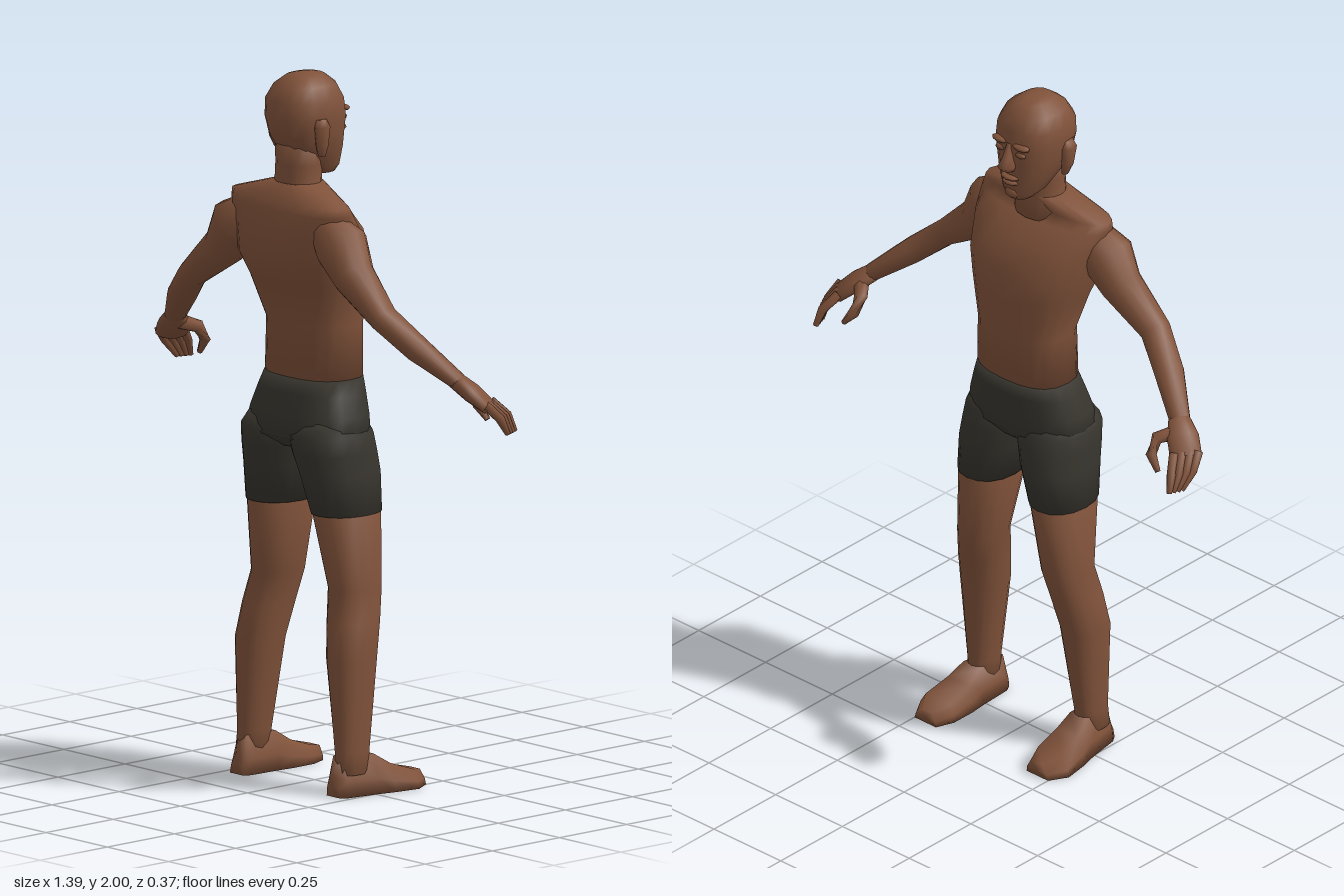
import * as THREE from 'three';

const skin = new THREE.MeshStandardMaterial({ color: 0x80523a });
skin.name = 'skin';
const cloth = new THREE.MeshStandardMaterial({ color: 0x38352e });
cloth.name = 'dark cloth';

// Joins rings of points into a closed, smooth skin.
function loft(rings) {
  const n = rings[0].length, last = rings.length - 1;
  const pos = rings.flat(2), index = [];
  for (let i = 0; i < last; i++) {
    for (let j = 0; j < n; j++) {
      const a = i * n + j, b = i * n + (j + 1) % n;
      index.push(a, a + n, b, b, a + n, b + n);
    }
  }
  [0, last].forEach((r, end) => {
    const centre = pos.length / 3;
    for (let k = 0; k < 3; k++) pos.push(rings[r].reduce((s, p) => s + p[k], 0) / n);
    for (let j = 0; j < n; j++) {
      const a = r * n + j, b = r * n + (j + 1) % n;
      index.push(centre, ...(end ? [b, a] : [a, b]));
    }
  });
  const geo = new THREE.BufferGeometry();
  geo.setAttribute('position', new THREE.Float32BufferAttribute(pos, 3));
  geo.setIndex(index);
  geo.computeVertexNormals();
  return geo;
}

// Level rings, bottom to top: [y, xMin, xMax, zFront, zBack]; e < 1 is boxier.
function stack(rows, e = 1, n = 16) {
  const pw = v => Math.sign(v) * Math.abs(v) ** e;
  return loft(rows.map(([y, x0, x1, z0, z1]) => Array.from({ length: n }, (_, j) => {
    const a = j / n * Math.PI * 2;
    return [(x0 + x1) / 2 + (x1 - x0) / 2 * pw(Math.cos(a)), y,
      (z0 + z1) / 2 + (z1 - z0) / 2 * pw(Math.sin(a))];
  })));
}
const centred = (rows, e, n) => stack(rows.map(([y, w, f, b]) => [y, -w, w, f, b]), e, n);

// Rings square to a path: [x, y, z, sideways radius, other radius].
function limb(path, n = 10) {
  const pts = path.map(p => new THREE.Vector3(p[0], p[1], p[2]));
  return loft(path.map((p, i) => {
    const t = pts[Math.min(i + 1, pts.length - 1)].clone().sub(pts[Math.max(i - 1, 0)]).normalize();
    const u = new THREE.Vector3(0, 1, 0).cross(t).normalize();
    const v = u.clone().cross(t);
    return Array.from({ length: n }, (_, j) => {
      const a = j / n * Math.PI * 2;
      return pts[i].clone().addScaledVector(u, p[3] * Math.cos(a))
        .addScaledVector(v, (p[4] ?? p[3]) * Math.sin(a)).toArray();
    });
  }));
}

function mirrored(geo) {
  const g = geo.clone().scale(-1, 1, 1), idx = g.index.array;
  for (let i = 0; i < idx.length; i += 3) [idx[i], idx[i + 1]] = [idx[i + 1], idx[i]];
  g.computeVertexNormals();
  return g;
}

export function createModel() {
  const model = new THREE.Group();
  model.name = 'figure';
  const add = (name, geo, mat = skin) => {
    const m = new THREE.Mesh(geo, mat);
    m.name = name;
    model.add(m);
  };
  const pair = (name, geo, mat) => {
    add(name + 'A', geo, mat);
    add(name + 'B', mirrored(geo), mat);
  };
  const blob = (w, h, d, x, y, z) =>
    new THREE.SphereGeometry(1, 8, 6).scale(w, h, d).translate(x, y, z);

  // Torso and neck
  add('torso', centred([
    [1.15, 0.15, -0.1, 0.105], [1.3, 0.145, -0.105, 0.105], [1.42, 0.175, -0.107, 0.15],
    [1.49, 0.198, -0.1, 0.182], [1.58, 0.212, -0.06, 0.178], [1.63, 0.223, 0, 0.165],
    [1.655, 0.222, 0.025, 0.15], [1.7, 0.072, 0.0, 0.125]], 0.8, 20));
  add('neck', centred([
    [1.63, 0.085, -0.01, 0.13], [1.7, 0.07, 0, 0.122], [1.75, 0.068, 0, 0.12],
    [1.82, 0.07, 0, 0.12]]));

  // Head
  add('head', centred([
    [1.714, 0.035, -0.06, 0.015], [1.735, 0.055, -0.07, 0.05], [1.79, 0.08, -0.074, 0.11],
    [1.83, 0.092, -0.074, 0.135], [1.88, 0.1, -0.077, 0.147], [1.93, 0.098, -0.07, 0.145],
    [1.97, 0.078, -0.05, 0.122], [1.995, 0.045, -0.02, 0.09], [2, 0.02, 0.01, 0.06]], 0.85));
  add('nose', centred([
    [1.812, 0.018, -0.095, -0.05], [1.828, 0.024, -0.113, -0.05],
    [1.85, 0.015, -0.1, -0.05], [1.895, 0.009, -0.08, -0.05]], 1, 8));
  add('upperLip', blob(0.032, 0.008, 0.018, 0, 1.788, -0.071));
  add('lowerLip', blob(0.028, 0.009, 0.018, 0, 1.772, -0.069));
  add('chin', blob(0.028, 0.02, 0.02, 0, 1.735, -0.057));
  pair('brow', blob(0.03, 0.009, 0.016, 0.038, 1.893, -0.067));
  pair('eyelid', blob(0.018, 0.009, 0.01, 0.037, 1.868, -0.068));
  pair('ear', stack([
    [1.78, 0.08, 0.1, 0.045, 0.065], [1.81, 0.08, 0.111, 0.04, 0.078],
    [1.865, 0.08, 0.117, 0.035, 0.088], [1.885, 0.08, 0.108, 0.045, 0.08]], 1, 8));

  // Arms
  pair('arm', limb([
    [0.15, 1.6, 0.095, 0.05, 0.05], [0.213, 1.55, 0.093, 0.075, 0.078],
    [0.265, 1.475, 0.095, 0.06, 0.06], [0.39, 1.378, 0.098, 0.045, 0.038],
    [0.48, 1.3, 0.055, 0.043, 0.036], [0.578, 1.215, -0.008, 0.03, 0.024]], 12));

  // Hands: palm, four curled fingers and a thumb
  pair('palm', limb([
    [0.57, 1.22, -0.003, 0.029, 0.024], [0.61, 1.185, -0.03, 0.045, 0.026],
    [0.65, 1.145, -0.06, 0.045, 0.019]]));
  for (let i = 0; i < 4; i++) {
    const k = i / 3, x = 0.628 + 0.04 * k, z = -0.085 + 0.055 * k;
    pair('finger' + (i + 1), limb([
      [x, 1.158, z, 0.014], [x + 0.025 - 0.01 * k, 1.118, z - 0.038, 0.013],
      [0.662 + 0.012 * k, 1.07, -0.142 + 0.038 * k, 0.008]], 6));
  }
  pair('thumb', limb([
    [0.59, 1.19, -0.035, 0.022], [0.555, 1.175, -0.075, 0.019],
    [0.557, 1.135, -0.1, 0.016], [0.588, 1.095, -0.108, 0.008]], 7));

  // Shorts
  add('shortsHips', centred([
    [0.955, 0.15, -0.07, 0.1], [0.99, 0.2, -0.098, 0.148], [1.05, 0.188, -0.1, 0.135],
    [1.11, 0.168, -0.1, 0.118], [1.152, 0.151, -0.101, 0.106]], 0.8, 20), cloth);
  pair('shortsLeg', stack([
    [0.78, 0.048, 0.217, -0.102, 0.108], [0.89, 0.018, 0.21, -0.11, 0.13],
    [0.95, 0, 0.206, -0.103, 0.143], [1.0, -0.01, 0.201, -0.095, 0.15],
    [1.04, 0.02, 0.18, -0.07, 0.12]], 0.9), cloth);

  // Legs
  pair('leg', stack([
    [0.06, 0.165, 0.24, -0.01, 0.1], [0.12, 0.163, 0.236, -0.012, 0.096],
    [0.38, 0.124, 0.249, -0.04, 0.105], [0.48, 0.108, 0.237, -0.064, 0.09],
    [0.57, 0.093, 0.221, -0.085, 0.072], [0.79, 0.05, 0.214, -0.1, 0.106]], 0.9));

  // Feet, heel to toe: [z, inner x, outer x, height]
  pair('foot', loft([
    [0.11, 0.17, 0.225, 0.06], [0.09, 0.16, 0.238, 0.11], [-0.01, 0.155, 0.255, 0.11],
    [-0.06, 0.15, 0.268, 0.078], [-0.135, 0.15, 0.28, 0.052], [-0.187, 0.17, 0.25, 0.04]
  ].map(([z, a, b, h]) => [
    [a, 0, z], [b, 0, z], [b - 0.005, h * 0.4, z], [b - 0.025, h, z],
    [a + 0.015, h, z], [a + 0.002, h * 0.4, z]])));

  return model;
}
